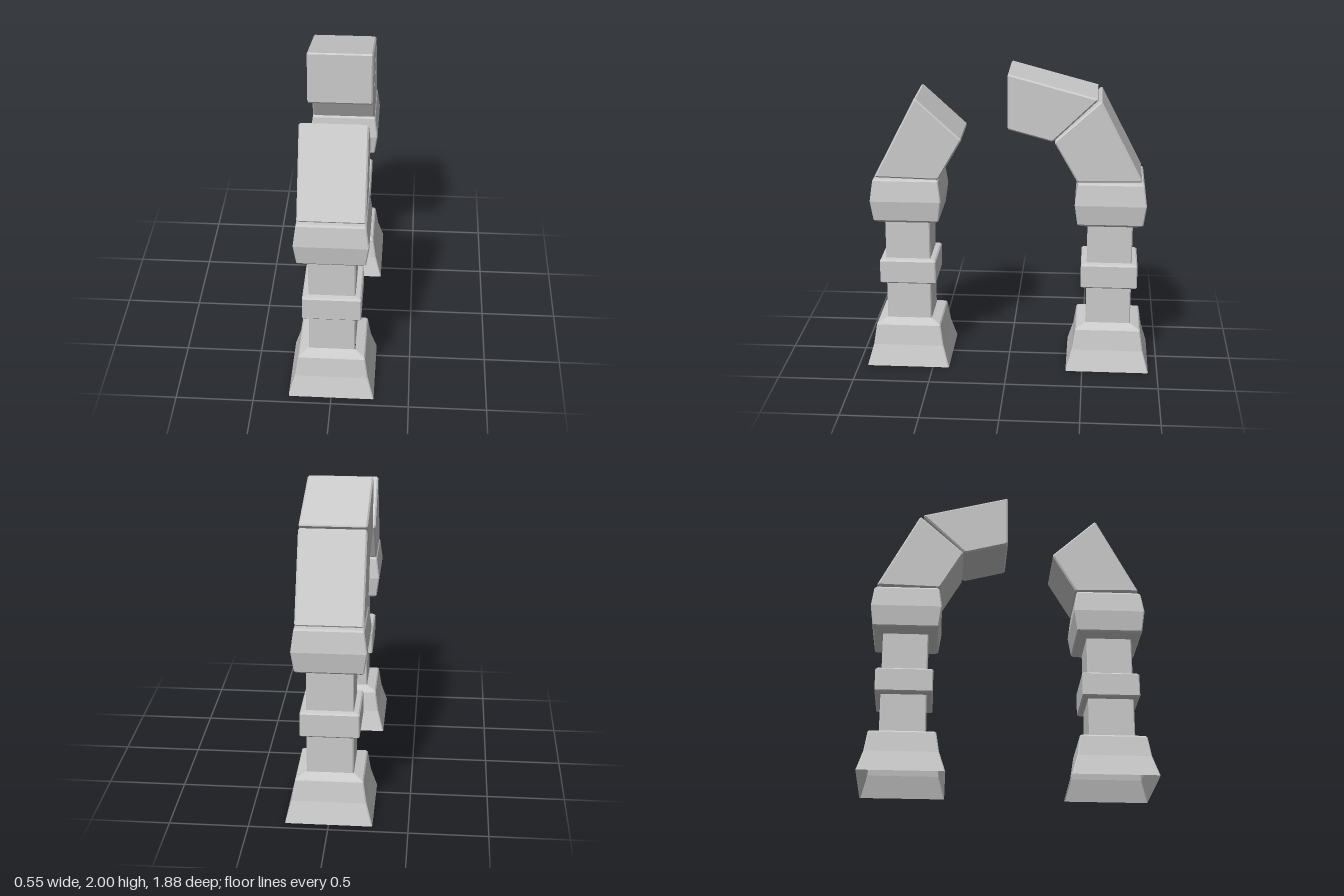
import * as THREE from 'three';

const stone = new THREE.MeshStandardMaterial({ color: 0xcccccc, flatShading: true, side: THREE.DoubleSide });
const BEVEL = 0.01;
const PILLAR_Z = 0.666;

// Square pillar: [half width, height] rings with slightly chamfered corners
function squareLoft(profile) {
  const ring = ([w, y]) => {
    const c = Math.max(w - 0.007, 0);
    return [[w, -c], [w, c], [c, w], [-c, w], [-w, c], [-w, -c], [-c, -w], [c, -w]]
      .map(([x, z]) => [x, y, z]);
  };
  const pos = [];
  for (let k = 0; k < profile.length - 1; k++) {
    const lo = ring(profile[k]), hi = ring(profile[k + 1]);
    for (let i = 0; i < 8; i++) {
      const j = (i + 1) % 8;
      pos.push(...lo[i], ...hi[i], ...hi[j], ...lo[i], ...hi[j], ...lo[j]);
    }
  }
  const geo = new THREE.BufferGeometry();
  geo.setAttribute('position', new THREE.Float32BufferAttribute(pos, 3));
  geo.computeVertexNormals();
  return geo;
}

// Arch stone: side outline as [z, y] corners, extruded across x with bevelled edges
function archStone(name, corners, width = 0.42) {
  const pts = [];
  corners.forEach((c, i) => {
    const p = new THREE.Vector2(...c);
    for (const step of [corners.length - 1, 1]) {
      const q = new THREE.Vector2(...corners[(i + step) % corners.length]);
      pts.push(p.clone().add(q.sub(p).setLength(BEVEL)));
    }
  });
  const geo = new THREE.ExtrudeGeometry(new THREE.Shape(pts), {
    depth: width - 2 * BEVEL, bevelEnabled: true, bevelSegments: 1,
    bevelSize: BEVEL, bevelThickness: BEVEL, bevelOffset: -BEVEL,
  });
  geo.translate(0, 0, -(width / 2 - BEVEL));
  geo.rotateY(-Math.PI / 2);
  const mesh = new THREE.Mesh(geo, stone);
  mesh.name = name;
  return mesh;
}

// Pillar pieces, bottom to top; the foot is open underneath
const pieces = {
  base: [[0.275, 0], [0.235, 0.14], [0.215, 0.275], [0.207, 0.285], [0.15, 0.306]],
  lowerShaft: [[0.148, 0.3], [0.148, 0.565]],
  band: [[0.148, 0.558], [0.177, 0.563], [0.186, 0.572], [0.186, 0.718], [0.177, 0.727], [0.148, 0.732]],
  upperShaft: [[0.148, 0.725], [0.148, 0.99]],
  capital: [[0.148, 0.985], [0.165, 0.99], [0.205, 1.008], [0.214, 1.018], [0.232, 1.15],
    [0.214, 1.285], [0.205, 1.297], [0, 1.3]],
};

function createPillar(name) {
  const pillar = new THREE.Group();
  pillar.name = name;
  for (const [part, profile] of Object.entries(pieces)) {
    const mesh = new THREE.Mesh(squareLoft(profile), stone);
    mesh.name = part;
    pillar.add(mesh);
  }
  return pillar;
}

export function createModel() {
  const model = new THREE.Group();
  model.name = 'brokenArch';

  // Two mirrored pillars, each carrying a leaning arch stone
  for (const [side, s] of [['front', 1], ['back', -1]]) {
    const pillar = createPillar(side + 'Pillar');
    pillar.position.z = s * PILLAR_Z;
    const lean = [[0.868, 1.308], [0.45, 1.298], [0.296, 1.567], [0.593, 1.84]];
    model.add(pillar, archStone(side + 'LeaningStone', lean.map(([z, y]) => [s * z, y])));
  }

  // Surviving crown stone, on the back half only
  model.add(archStone('crownStone', [[-0.578, 1.849], [-0.288, 1.566], [0, 1.643], [0, 2.003]]));
  return model;
}
